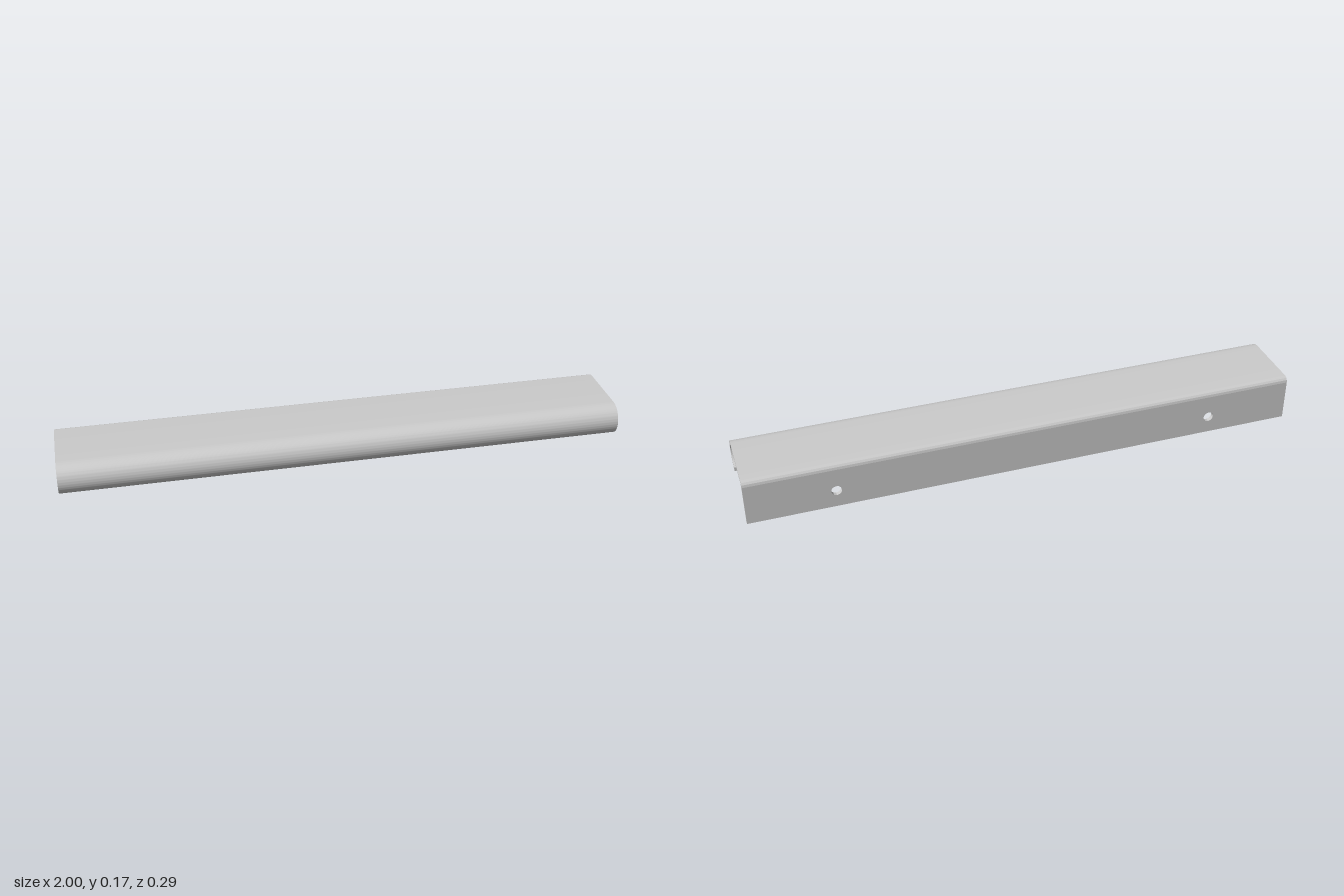
import * as THREE from 'three';
import { toCreasedNormals } from 'three/addons/utils/BufferGeometryUtils.js';

const LENGTH = 2, TOP = 0.171, T = 0.015; // rail length, height, sheet thickness
const BACK = -0.1475;                     // outer face of the back plate
const BEND = 0.02;                        // outer radius of the rear bend
const HOOK_Z = 0.0885, HOOK_R = 0.059;    // front curl
const HOLE_X = 0.69, HOLE_Y = 0.065, HOLE_R = 0.0185;

export function createModel() {
  const group = new THREE.Group();
  const material = new THREE.MeshStandardMaterial({ color: 0xcccccc });
  const add = (name, geometry) => {
    const mesh = new THREE.Mesh(toCreasedNormals(geometry, 0.5), material);
    mesh.name = name;
    group.add(mesh);
  };

  // Bent sheet: front curl, flat top and rear bend, drawn in (z, y)
  const bendZ = BACK + BEND, bendY = TOP - BEND, hookY = TOP - HOOK_R;
  const q = Math.PI / 2;
  const profile = new THREE.Shape();
  profile.moveTo(HOOK_Z, hookY - HOOK_R);
  profile.absarc(HOOK_Z, hookY, HOOK_R, -q, q, false);
  profile.lineTo(bendZ, TOP);
  profile.absarc(bendZ, bendY, BEND, q, Math.PI, false);
  profile.lineTo(BACK + T, bendY);
  profile.absarc(bendZ, bendY, BEND - T, Math.PI, q, true);
  profile.lineTo(HOOK_Z, TOP - T);
  profile.absarc(HOOK_Z, hookY, HOOK_R - T, q, -q, true);
  profile.closePath();
  const sheet = new THREE.ExtrudeGeometry(profile, { depth: LENGTH, bevelEnabled: false, curveSegments: 28 });
  sheet.rotateY(-q).translate(LENGTH / 2, 0, 0);
  add('curledTop', sheet);

  // Back plate with two screw holes, drawn in (x, y)
  const h = LENGTH / 2;
  const plate = new THREE.Shape([
    new THREE.Vector2(-h, 0), new THREE.Vector2(h, 0),
    new THREE.Vector2(h, bendY), new THREE.Vector2(-h, bendY),
  ]);
  for (const side of [-1, 1]) {
    plate.holes.push(new THREE.Path().absarc(side * HOLE_X, HOLE_Y, HOLE_R, 0, Math.PI * 2, true));
  }
  const back = new THREE.ExtrudeGeometry(plate, { depth: T, bevelEnabled: false, curveSegments: 32 });
  back.translate(0, 0, BACK);
  add('backPlate', back);

  return group;
}
